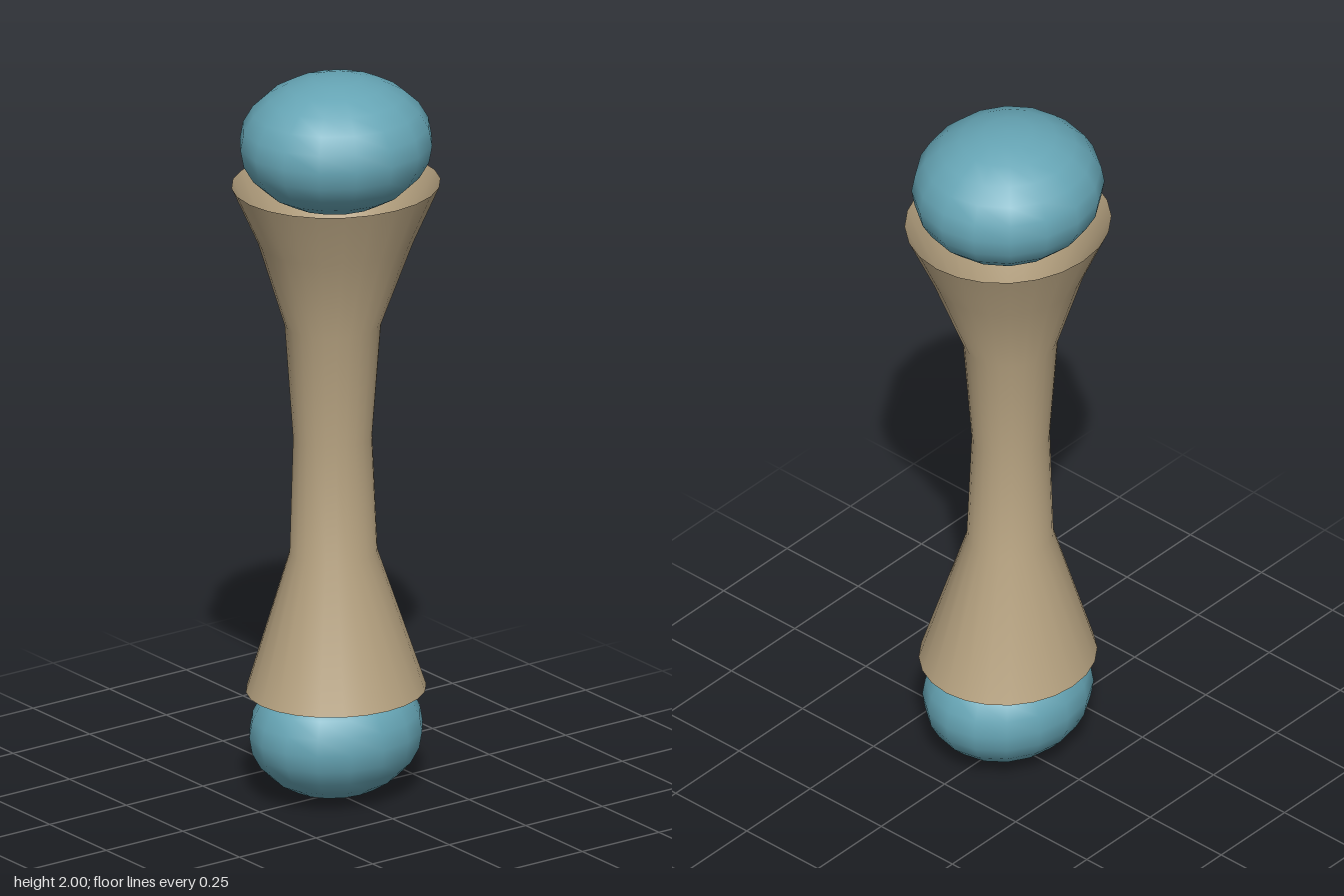
import * as THREE from 'three';

const shaftMaterial = new THREE.MeshStandardMaterial({ color: 0xb8a482, side: THREE.DoubleSide });
const knobMaterial = new THREE.MeshStandardMaterial({ color: 0x66a5b5 });

// Rings of the shaft from bottom to top: [half width, height, shift towards the front]
const RINGS = [
  [0.228, 0.295, 0],
  [0.111, 0.68, 0.008],
  [0.1, 1.0, 0.011],
  [0.122, 1.315, 0.01],
  [0.197, 1.545, 0],
  [0.264, 1.703, 0],
];

// Open flared tube, slightly deeper than wide, bowed forward in the middle
function createShaft() {
  const points = RINGS.map(([r, y]) => new THREE.Vector2(r, y));
  const geometry = new THREE.LatheGeometry(points, 24);
  geometry.scale(1, 1, 1.065);
  const position = geometry.attributes.position;
  for (let i = 0; i < position.count; i++) {
    position.setZ(i, position.getZ(i) + RINGS[i % RINGS.length][2]);
  }
  const shaft = new THREE.Mesh(geometry, shaftMaterial);
  shaft.name = 'shaft';
  return shaft;
}

// Flattened ball resting in an end of the shaft
function createKnob(name, y, rx, ry, rz) {
  const geometry = new THREE.SphereGeometry(1, 16, 12);
  geometry.scale(rx, ry, rz);
  const knob = new THREE.Mesh(geometry, knobMaterial);
  knob.name = name;
  knob.position.y = y;
  return knob;
}

export function createModel() {
  const model = new THREE.Group();
  model.name = 'bone';
  model.add(
    createShaft(),
    createKnob('upperKnob', 1.818, 0.247, 0.182, 0.262),
    createKnob('lowerKnob', 0.18, 0.211, 0.178, 0.242),
  );
  return model;
}
